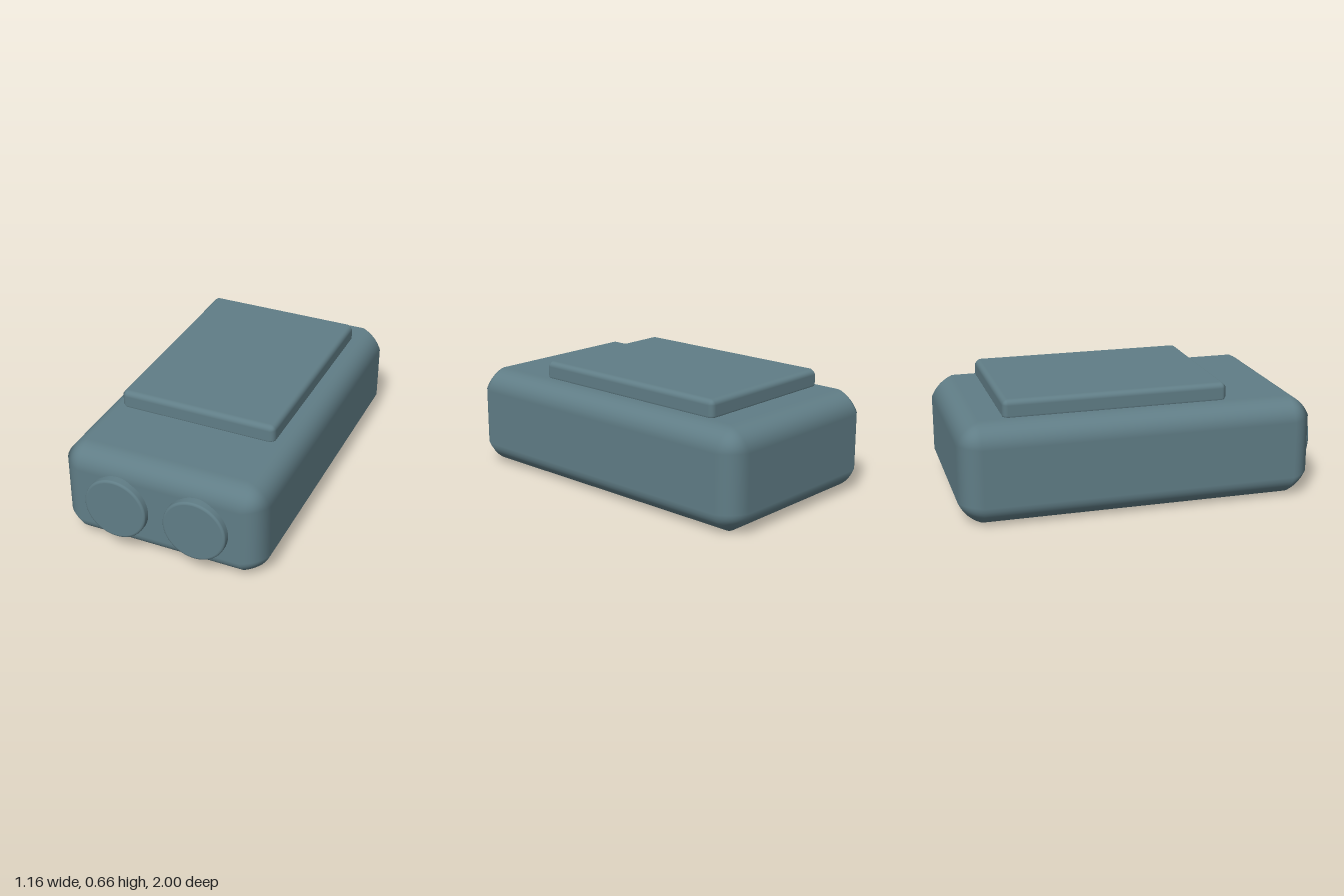
import * as THREE from 'three';
import { RoundedBoxGeometry } from 'three/addons/geometries/RoundedBoxGeometry.js';

const material = new THREE.MeshStandardMaterial({ color: 0x607d86 });

// Box with softened edges: each edge is a shallow arc reaching `r` into both faces.
function softBox(name, min, max, r) {
  const size = max.map((v, i) => v - min[i]);
  const geometry = new RoundedBoxGeometry(...size, 4, r);
  const inner = size.map((s) => s / 2 - r);
  const pos = geometry.attributes.position;
  const R = 1.81, c = 0.678; // arc radius and centre offset, relative to r
  for (let i = 0; i < pos.count; i++) {
    const p = [pos.getX(i), pos.getY(i), pos.getZ(i)];
    const corner = p.map((v, k) => Math.sign(v) * inner[k]);
    const n = p.map((v, k) => (v - corner[k]) / r);
    const sum = n.reduce((a, v) => a + Math.abs(v), 0);
    const t = r * (Math.sqrt(c * c * sum * sum - 2 * c * c + R * R) - c * sum);
    pos.setXYZ(i, ...n.map((v, k) => corner[k] + v * t));
  }
  const mesh = new THREE.Mesh(geometry, material);
  mesh.name = name;
  mesh.position.set(...min.map((v, i) => (v + max[i]) / 2));
  return mesh;
}

// Disc facing +z with a small rounded rim
function frontDisc(name, x) {
  const radius = 0.176, bevel = 0.012, depth = 0.14;
  const profile = [[0, 0], [radius, 0], [radius, 0], [radius, depth - bevel]];
  for (let i = 1; i <= 3; i++) {
    const a = (i / 3) * Math.PI / 2;
    profile.push([radius - bevel + bevel * Math.cos(a), depth - bevel + bevel * Math.sin(a)]);
  }
  profile.push([radius - bevel - 0.002, depth], [0, depth]);
  const geometry = new THREE.LatheGeometry(profile.map(([a, b]) => new THREE.Vector2(a, b)), 64);
  geometry.rotateX(Math.PI / 2);
  const mesh = new THREE.Mesh(geometry, material);
  mesh.name = name;
  mesh.position.set(x, 0.282, 1 - depth);
  return mesh;
}

export function createModel() {
  const model = new THREE.Group();
  model.name = 'device';
  model.add(softBox('body', [-0.58, 0, -1], [0.58, 0.56, 0.96], 0.122));
  model.add(softBox('topPanel', [-0.448, 0.54, -0.748], [0.448, 0.655, 0.484], 0.03));
  model.add(frontDisc('leftDisc', 0.225), frontDisc('rightDisc', -0.225));
  return model;
}
